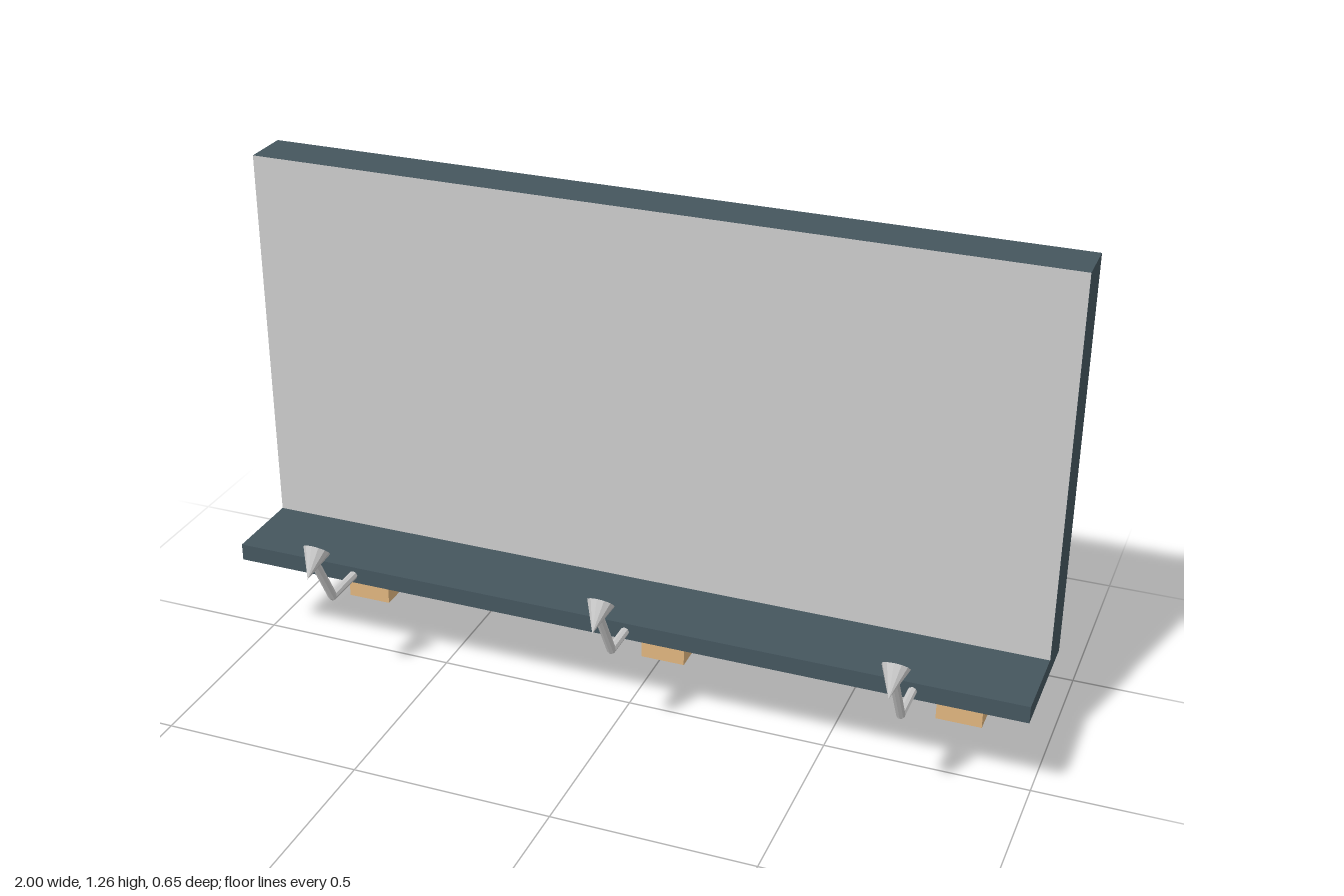
import * as THREE from 'three';

const mat = (color, extra = {}) => new THREE.MeshStandardMaterial({ color, ...extra });

export function createModel() {
  const model = new THREE.Group();
  const wood = mat(0xdfb57f);
  const slate = mat(0x45565e);
  const grey = mat(0xcccccc);
  const metal = mat(0xcccccc, { flatShading: true });
  const yellow = mat(0xe8d83a);

  const add = (parent, name, geometry, material, x = 0, y = 0, z = 0) => {
    const mesh = new THREE.Mesh(geometry, material);
    mesh.name = name;
    mesh.position.set(x, y, z);
    parent.add(mesh);
    return mesh;
  };

  // L-shaped board and shelf: a (z, y) section swept along x
  const section = new THREE.Shape([
    [-0.21, 0.26], [0.115, 0.26], [0.115, 0.303], [-0.092, 0.303], [-0.092, 1.26], [-0.21, 1.26],
  ].map(([z, y]) => new THREE.Vector2(z, y)));
  const board = new THREE.ExtrudeGeometry(section, { depth: 2, bevelEnabled: false });
  board.translate(0, 0, -1).rotateY(-Math.PI / 2);
  add(model, 'boardAndShelf', board, slate);

  // Blank display face
  add(model, 'displayPanel', new THREE.PlaneGeometry(2, 0.957), grey, 0, 0.7815, -0.091);

  // Wooden frame behind the board
  const frame = new THREE.Group();
  frame.name = 'woodenFrame';
  model.add(frame);
  for (const x of [-0.828, 0.008, 0.778]) {
    add(frame, 'post', new THREE.BoxGeometry(0.115, 1, 0.115), wood, x, 0.5, -0.2675);
  }
  for (const y of [0.328, 0.56]) {
    add(frame, 'rail', new THREE.BoxGeometry(1.765, 0.116, 0.115), wood, -0.025, y, -0.2675);
  }

  // Straight tube between two points
  const rod = (parent, name, a, b, radius) => {
    const dir = b.clone().sub(a);
    const mesh = add(parent, name, new THREE.CylinderGeometry(radius, radius, dir.length(), 8), metal);
    mesh.position.copy(a).add(b).multiplyScalar(0.5);
    mesh.quaternion.setFromUnitVectors(new THREE.Vector3(0, 1, 0), dir.normalize());
  };

  // Lamps on bent arms, shining back up at the board
  for (const [x, z] of [[-0.69, 0], [0.03, -0.022], [0.728, -0.008]]) {
    const lamp = new THREE.Group();
    lamp.name = 'lamp';
    lamp.position.set(x, 0, z);
    model.add(lamp);

    const bend = new THREE.Vector3(0.003, 0.281, 0.222);
    rod(lamp, 'armBase', new THREE.Vector3(0.003, 0.281, 0.1), bend, 0.011);
    rod(lamp, 'armUpright', bend, new THREE.Vector3(-0.002, 0.412, 0.288), 0.011);
    add(lamp, 'elbow', new THREE.SphereGeometry(0.011, 8, 6), metal, 0.003, 0.281, 0.222);

    const head = new THREE.Group();
    head.name = 'lampHead';
    head.position.set(-0.003, 0.433, 0.27);
    head.rotation.x = Math.PI * 0.75;
    lamp.add(head);
    add(head, 'shade', new THREE.ConeGeometry(0.033, 0.074, 12), metal, 0, 0.037, 0);
    const bulb = new THREE.CircleGeometry(0.027, 12).rotateX(Math.PI / 2);
    add(head, 'lightDisc', bulb, yellow, 0, -0.001, 0);
  }

  return model;
}
